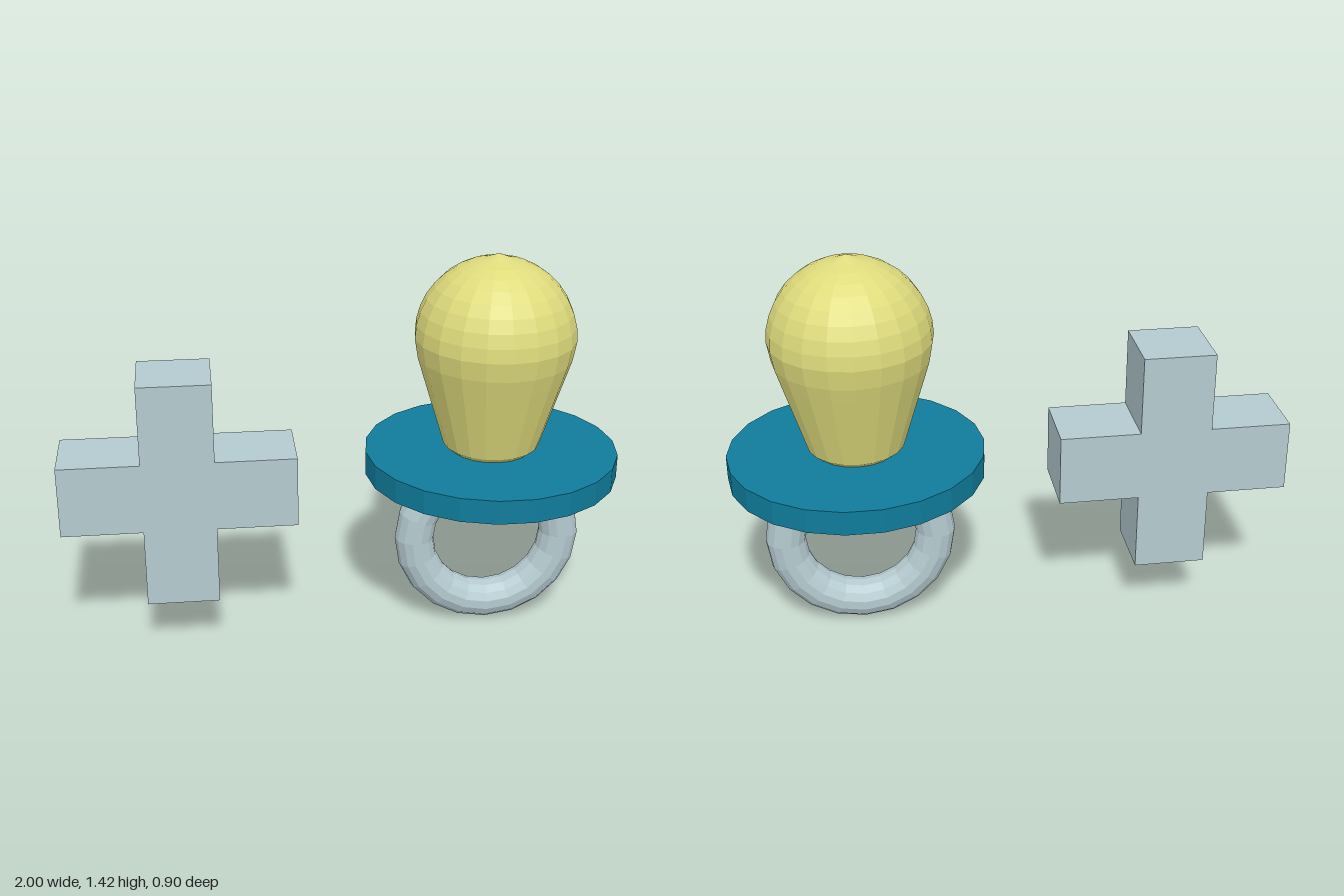
import * as THREE from 'three';

const material = (color) => new THREE.MeshStandardMaterial({ color, flatShading: true });

function addPart(group, name, geometry, mat, x, y, z = 0) {
  const mesh = new THREE.Mesh(geometry, mat);
  mesh.name = name;
  mesh.position.set(x, y, z);
  group.add(mesh);
  return mesh;
}

// Plus-shaped outline, one corner notch per quarter turn
function plusShape(reach, half) {
  const points = [];
  for (let i = 0; i < 4; i++) {
    for (const [x, y] of [[reach, -half], [reach, half], [half, half]]) {
      points.push(new THREE.Vector2(x, y).rotateAround(new THREE.Vector2(), i * Math.PI / 2));
    }
  }
  return new THREE.Shape(points);
}

// Bulb profile: tucked base, tapering neck, round head with a small tip
function bulbProfile() {
  const radius = 0.285, centre = 1.12;
  const points = [[0, 0.69], [0.135, 0.69], [0.172, 0.72], [0.255, 0.99], [0.273, 1.05]]
    .map(([r, y]) => new THREE.Vector2(r, y));
  for (let i = 0; i <= 8; i++) {
    const a = i * 0.174;
    points.push(new THREE.Vector2(radius * Math.cos(a), centre + radius * Math.sin(a)));
  }
  points.push(new THREE.Vector2(0, 1.42));
  return points;
}

export function createModel() {
  const model = new THREE.Group();
  model.name = 'pacifierAndCross';
  const pale = material(0xb4cacf);

  // Cross
  const depth = 0.26;
  const cross = new THREE.ExtrudeGeometry(plusShape(0.417, 0.129), { depth, bevelEnabled: false });
  addPart(model, 'cross', cross, pale, -0.582, 0.614, -depth / 2);

  // Pacifier
  const pacifier = new THREE.Group();
  pacifier.name = 'pacifier';
  pacifier.position.x = 0.545;
  model.add(pacifier);
  addPart(pacifier, 'handleRing', new THREE.TorusGeometry(0.272, 0.072, 14, 20), pale, 0, 0.347);
  const shield = new THREE.CylinderGeometry(0.455, 0.455, 0.087, 22);
  addPart(pacifier, 'shield', shield, material(0x0f7c9b), 0, 0.655).rotation.y = Math.PI / 2;
  addPart(pacifier, 'bulb', new THREE.LatheGeometry(bulbProfile(), 20), material(0xdedb7c), 0, 0);

  return model;
}
